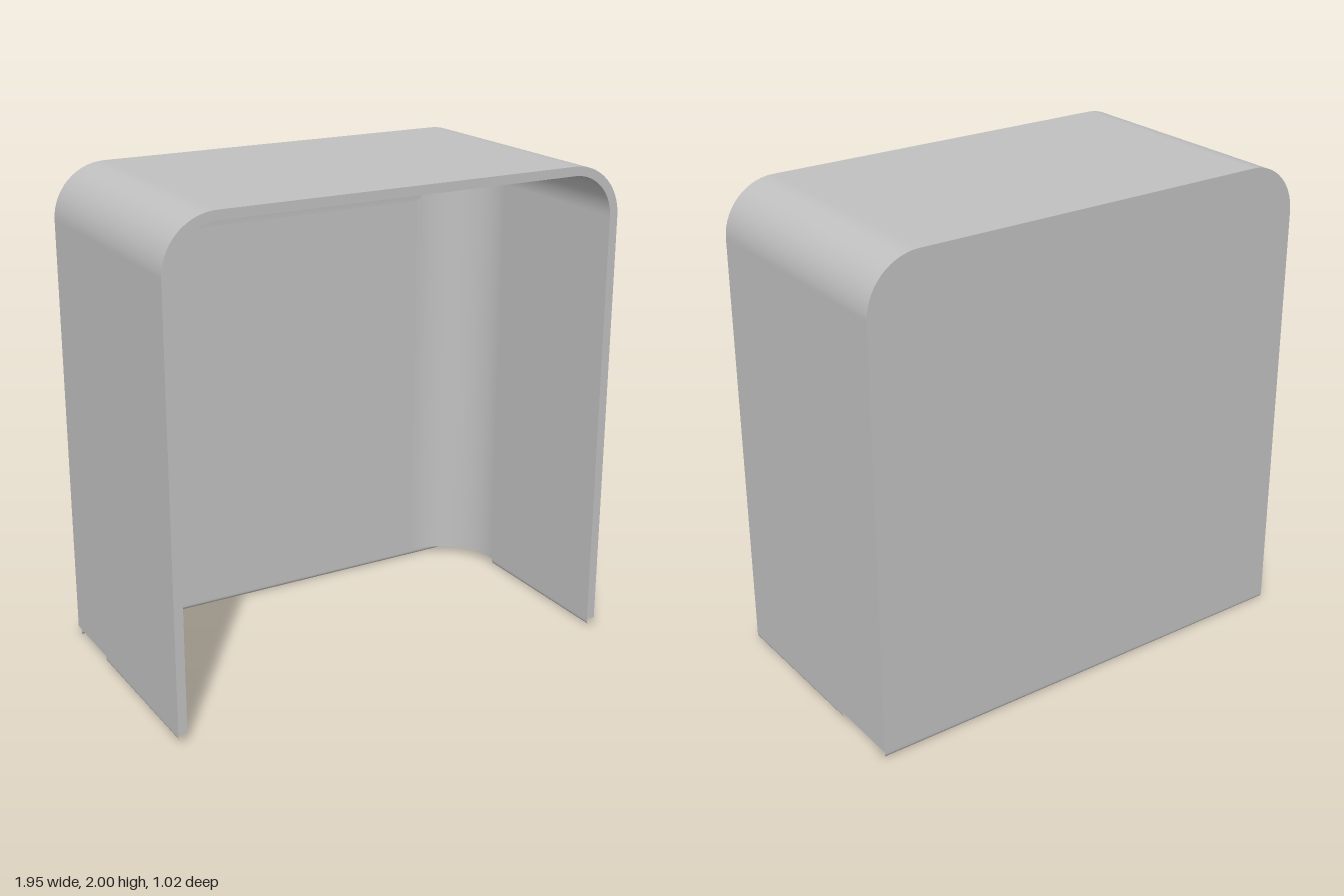
import * as THREE from 'three';

const W = 0.976, TOP = 2, BASE = 0.028, D = 0.51; // half width, height, wall foot, half depth
const T = 0.037, R = 0.215, FILLET = 0.27;        // wall thickness, corner radius, inner fillet
const IW = W - T, ZF = -0.2, ZB = ZF - FILLET;    // inner half width, fillet start, inner back

// Arch outline inset by d, counter-clockwise from the foot at +x to the foot at -x
function arch(d, steps = 14) {
  const r = Math.max(R - d, 0), cx = W - d - r, cy = TOP - d - r;
  const pts = [[W - d, BASE]];
  for (const side of [1, -1]) {
    for (let i = 0; i <= steps; i++) {
      const a = (Math.PI / 2) * (i / steps + (side < 0 ? 1 : 0));
      pts.push([side * cx + r * Math.cos(a), cy + r * Math.sin(a)]);
    }
  }
  pts.push([-(W - d), BASE]);
  return pts;
}

// Surface through outlines placed at falling z; flip turns it to face inwards
function loft(sections, flip = false) {
  const n = sections[0].pts.length, pos = [], idx = [];
  for (const { pts, z } of sections) for (const [x, y] of pts) pos.push(x, y, z);
  for (let i = 0; i < sections.length - 1; i++) {
    for (let j = 0; j < n - 1; j++) {
      const a = i * n + j, b = a + 1, c = a + n, e = c + 1;
      if (flip) idx.push(a, b, c, b, e, c);
      else idx.push(a, c, b, b, c, e);
    }
  }
  const g = new THREE.BufferGeometry();
  g.setAttribute('position', new THREE.Float32BufferAttribute(pos, 3));
  g.setIndex(idx);
  g.computeVertexNormals();
  return g;
}

const flat = (pts) => new THREE.ShapeGeometry(new THREE.Shape(pts.map(([x, y]) => new THREE.Vector2(x, y))));

// Rounded foot profile centred on x = cx
function lipProfile(cx) {
  const h = T / 2, pts = [[cx - h, BASE]];
  for (let i = 0; i <= 12; i++) {
    const a = Math.PI * (1 + i / 12);
    pts.push([cx + h * Math.cos(a), h + h * Math.sin(a)]);
  }
  pts.push([cx + h, BASE]);
  return pts;
}

export function createModel() {
  const group = new THREE.Group();
  const grey = new THREE.MeshStandardMaterial({ color: 0xc0c0c0 });
  grey.name = 'grey';
  const add = (name, geometry) => {
    const mesh = new THREE.Mesh(geometry, grey);
    mesh.name = name;
    group.add(mesh);
    return mesh;
  };

  // Outer sides and top
  add('outerShell', loft([{ pts: arch(0), z: D }, { pts: arch(0), z: -D }]));

  // Inner sides and top, curving into the back panel
  const inner = [{ pts: arch(T), z: D }], curve = [];
  for (let i = 0; i <= 20; i++) {
    const a = (Math.PI / 2) * (i / 20);
    const d = FILLET * (1 - Math.cos(a)), z = ZF - FILLET * Math.sin(a);
    inner.push({ pts: arch(T + d), z });
    curve.push([IW - d, z]);
  }
  add('innerShell', loft(inner, true));

  // Back panel, inside and outside
  const bw = IW - FILLET, bt = TOP - T - FILLET;
  add('backPanelInside', flat([[-bw, BASE], [bw, BASE], [bw, bt], [-bw, bt]])).position.z = ZB;
  add('backPanelOutside', flat(arch(0)).rotateY(Math.PI).translate(0, 0, -D));

  // Front rim between the outer and inner outlines
  add('frontRim', flat([...arch(0), ...arch(T).reverse()])).position.z = D;

  for (const side of [1, -1]) {
    // Underside of the filleted back corner
    const corner = [[W, ZF], ...curve, [bw, -D], [W, -D]].map(([x, z]) => [side * x, z]);
    add('cornerUnderside', flat(corner).rotateX(Math.PI / 2)).position.y = BASE;
    // Rounded foot of the side wall
    const pts = lipProfile(side * (W - T / 2));
    add('sideFoot', loft([{ pts, z: D }, { pts, z: ZF }]));
  }

  // Rounded foot of the back panel
  const pts = lipProfile(0);
  const foot = loft([{ pts, z: W }, { pts, z: -W }]).rotateY(Math.PI / 2);
  add('backFoot', foot).position.z = -D + T / 2;

  return group;
}
